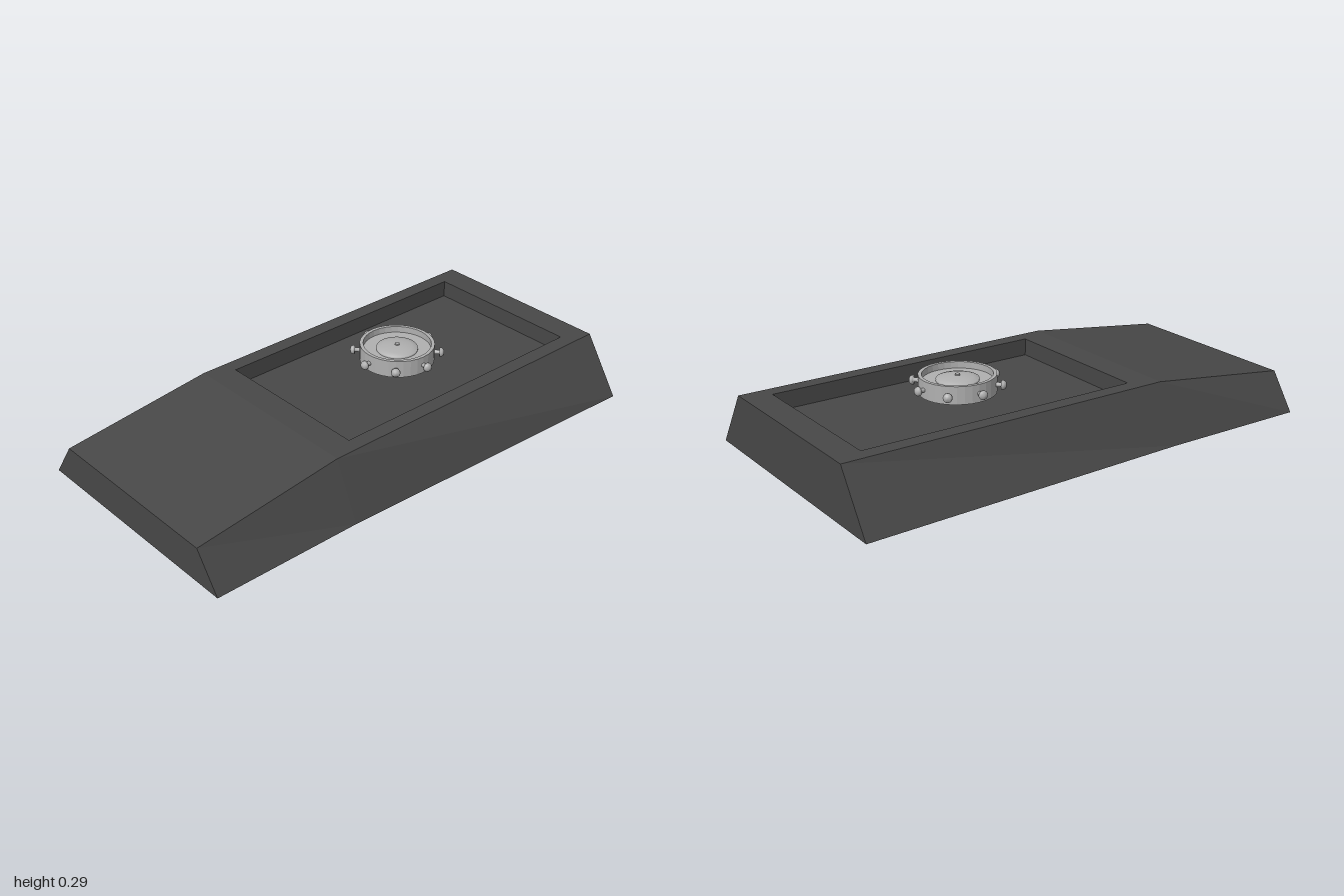
import * as THREE from 'three';

const hullGrey = new THREE.MeshStandardMaterial({ color: 0x484848 });
hullGrey.name = 'darkHullGrey';
const ringGrey = new THREE.MeshStandardMaterial({ color: 0xb0b0b0 });
ringGrey.name = 'lightMetalGrey';

function addMesh(parent, name, geometry, material) {
  const mesh = new THREE.Mesh(geometry, material);
  mesh.name = name;
  parent.add(mesh);
  return mesh;
}

// Faceted normals
function faceted(geometry) {
  const g = geometry.index ? geometry.toNonIndexed() : geometry;
  g.computeVertexNormals();
  return g;
}

// Flat four-sided faces, corners anticlockwise seen from outside
function quads(list) {
  const p = [];
  for (const [a, b, c, d] of list) p.push(...a, ...b, ...c, ...a, ...c, ...d);
  const g = new THREE.BufferGeometry();
  g.setAttribute('position', new THREE.Float32BufferAttribute(p, 3));
  return faceted(g);
}

// Cross-section corners: bottom right, bottom left, top left, top right
function section(x, top, bottomZ, topZ) {
  return [[x, 0, -bottomZ], [x, 0, bottomZ], [x, top, topZ], [x, top, -topZ]];
}

function rectangle(x0, x1, y, z) {
  return [[x0, y, -z], [x0, y, z], [x1, y, z], [x1, y, -z]];
}

function buildHull() {
  const low = section(-1, 0.15, 0.5, 0.397);
  const mid = section(-0.38, 0.23, 0.5, 0.397);
  const high = section(1, 0.23, 0.55, 0.397);
  const faces = [low, [high[3], high[2], high[1], high[0]]];
  // Skin between sections; the flat rear deck is left open for the well
  for (const [a, b, open] of [[low, mid, false], [mid, high, true]]) {
    for (let i = 0; i < 4; i++) {
      if (open && i === 2) continue;
      const j = (i + 1) % 4;
      faces.push([a[j], a[i], b[i], b[j]]);
    }
  }
  // Deck border, well walls and well floor
  const outer = [mid[3], mid[2], high[2], high[3]];
  const rim = rectangle(-0.27, 0.89, 0.23, 0.335);
  const floor = rectangle(-0.27, 0.89, 0.16, 0.335);
  for (let i = 0; i < 4; i++) {
    const j = (i + 1) % 4;
    faces.push([outer[i], outer[j], rim[j], rim[i]]);
    faces.push([rim[i], rim[j], floor[j], floor[i]]);
  }
  faces.push(floor);
  return quads(faces);
}

function lathe(points, sides) {
  return new THREE.LatheGeometry(points.map(([r, y]) => new THREE.Vector2(r, y)), sides);
}

export function createModel() {
  const model = new THREE.Group();
  model.name = 'slopedBaseWithRing';
  addMesh(model, 'hull', buildHull(), hullGrey);

  // Ring, hovering over the well
  const ring = new THREE.Group();
  ring.name = 'ringAssembly';
  ring.position.set(0.285, 0.25, 0);
  model.add(ring);
  addMesh(ring, 'ringDrum', faceted(lathe([
    [0, -0.035], [0.15, -0.035], [0.15, 0.036], [0.136, 0.036],
    [0.136, 0.01], [0.083, 0.01],
  ], 32)), ringGrey);
  addMesh(ring, 'centreDome', lathe([
    [0.083, 0.01], [0.083, 0.018], [0.06, 0.024], [0.03, 0.029], [0, 0.03],
  ], 32), ringGrey);
  addMesh(ring, 'centrePin', new THREE.CylinderGeometry(0.01, 0.01, 0.012, 12), ringGrey)
    .position.y = 0.029;

  // Eight mushroom-headed studs around the drum
  const studShape = lathe([
    [0.009, 0.14], [0.009, 0.169], [0.018, 0.169], [0.018, 0.178], [0.012, 0.186], [0, 0.188],
  ], 14).rotateZ(-Math.PI / 2);
  for (let i = 0; i < 8; i++) {
    addMesh(ring, 'stud' + (i + 1), studShape, ringGrey).rotation.y = i * Math.PI / 4;
  }
  return model;
}
